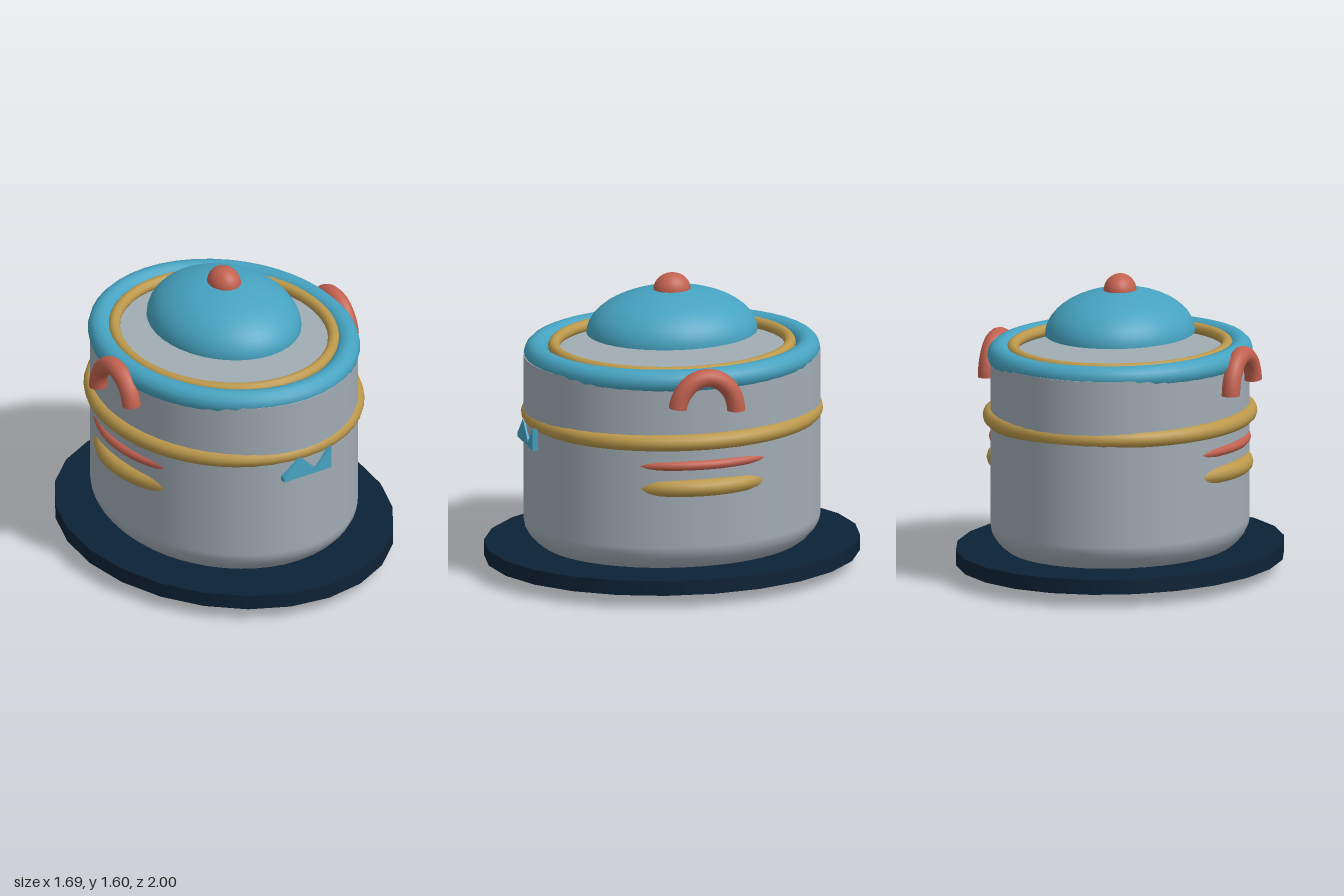
import * as THREE from 'three';

const mat = (name, color, side = THREE.FrontSide) => {
  const m = new THREE.MeshStandardMaterial({ color, side });
  m.name = name;
  return m;
};

// Arc of an ellipse, laid out by a function of cosine and sine
class ArcCurve extends THREE.Curve {
  constructor(place, start, end) {
    super();
    Object.assign(this, { place, start, end });
  }
  getPoint(t, target = new THREE.Vector3()) {
    const a = this.start + (this.end - this.start) * t;
    return target.set(...this.place(Math.cos(a), Math.sin(a)));
  }
}

export function createModel() {
  const model = new THREE.Group();
  model.name = 'ovalPot';

  const steel = mat('steelGrey', 0xa1acb4);
  const blue = mat('enamelBlue', 0x46a3c1, THREE.DoubleSide);
  const gold = mat('brassGold', 0xbb984b);
  const red = mat('coralRed', 0xc2614f, THREE.DoubleSide);
  const navy = mat('darkNavy', 0x0d2236);

  const add = (name, geometry, material) => {
    const mesh = new THREE.Mesh(geometry, material);
    mesh.name = name;
    model.add(mesh);
    return mesh;
  };
  const ring = (name, rx, rz, y, tube, material) => add(name,
    new THREE.TubeGeometry(new ArcCurve((c, s) => [rx * c, y, rz * s], 0, Math.PI * 2), 48, tube, 12, true),
    material);

  // Oval tray under the pot
  const tray = add('basePlate', new THREE.CylinderGeometry(1, 1, 0.08, 24), navy);
  tray.scale.x = 0.845;
  tray.position.y = 0.11;

  // Pot wall with flat top, and rounded underside
  const wall = add('potBody', new THREE.CylinderGeometry(1, 1, 0.89, 48), steel);
  wall.scale.set(0.665, 1, 0.79);
  wall.position.y = 0.725;
  const bottom = add('potBottom',
    new THREE.SphereGeometry(1, 48, 12, 0, Math.PI * 2, Math.PI / 2, Math.PI / 2), steel);
  bottom.scale.set(0.665, 0.28, 0.79);
  bottom.position.y = 0.28;

  // Rim, inner ring and waist band
  ring('rim', 0.62, 0.722, 1.177, 0.064, blue);
  ring('innerRing', 0.555, 0.626, 1.207, 0.031, gold);
  ring('waistBand', 0.665, 0.756, 0.852, 0.045, gold);

  // Domed lid with knob
  const lid = add('lid', new THREE.SphereGeometry(1, 40, 12, 0, Math.PI * 2, 0, Math.PI / 2), blue);
  lid.scale.set(0.385, 0.235, 0.455);
  lid.position.y = 1.28;
  const knob = add('knob', new THREE.SphereGeometry(1, 24, 16), red);
  knob.scale.set(0.085, 0.09, 0.1);
  knob.position.y = 1.505;

  for (const side of [1, -1]) {
    const label = side > 0 ? 'left' : 'right';

    // Arched side handle
    const arch = new ArcCurve((c, s) => [side * 0.688, 1.02 + 0.186 * s, -0.16 * c], 0, 2.98);
    add(label + 'Handle', new THREE.TubeGeometry(arch, 24, 0.049, 12), red);

    // Bowed bars that sink into the wall at both ends
    const bar = (name, y, bow, reach, front, tube, material) => {
      const a = Math.asin(reach / bow);
      const curve = new ArcCurve((c, s) => [side * (front - bow + bow * c), y, bow * s], -a, a);
      add(label + name, new THREE.TubeGeometry(curve, 20, tube, 12), material);
    };
    bar('UpperBar', 0.725, 0.66, 0.4, 0.663, 0.026, red);
    bar('LowerBar', 0.602, 0.51, 0.36, 0.665, 0.047, gold);
  }

  // Zigzag plaque on the front
  const outline = [[-0.15, 0.72], [0.147, 0.72], [0.147, 0.843], [0.05, 0.745], [-0.05, 0.843], [-0.15, 0.745]];
  const plaque = add('frontPlaque', new THREE.ExtrudeGeometry(
    new THREE.Shape(outline.map(([x, y]) => new THREE.Vector2(x, y))),
    { depth: 0.03, bevelEnabled: false }), blue);
  plaque.position.z = 0.77;

  return model;
}
